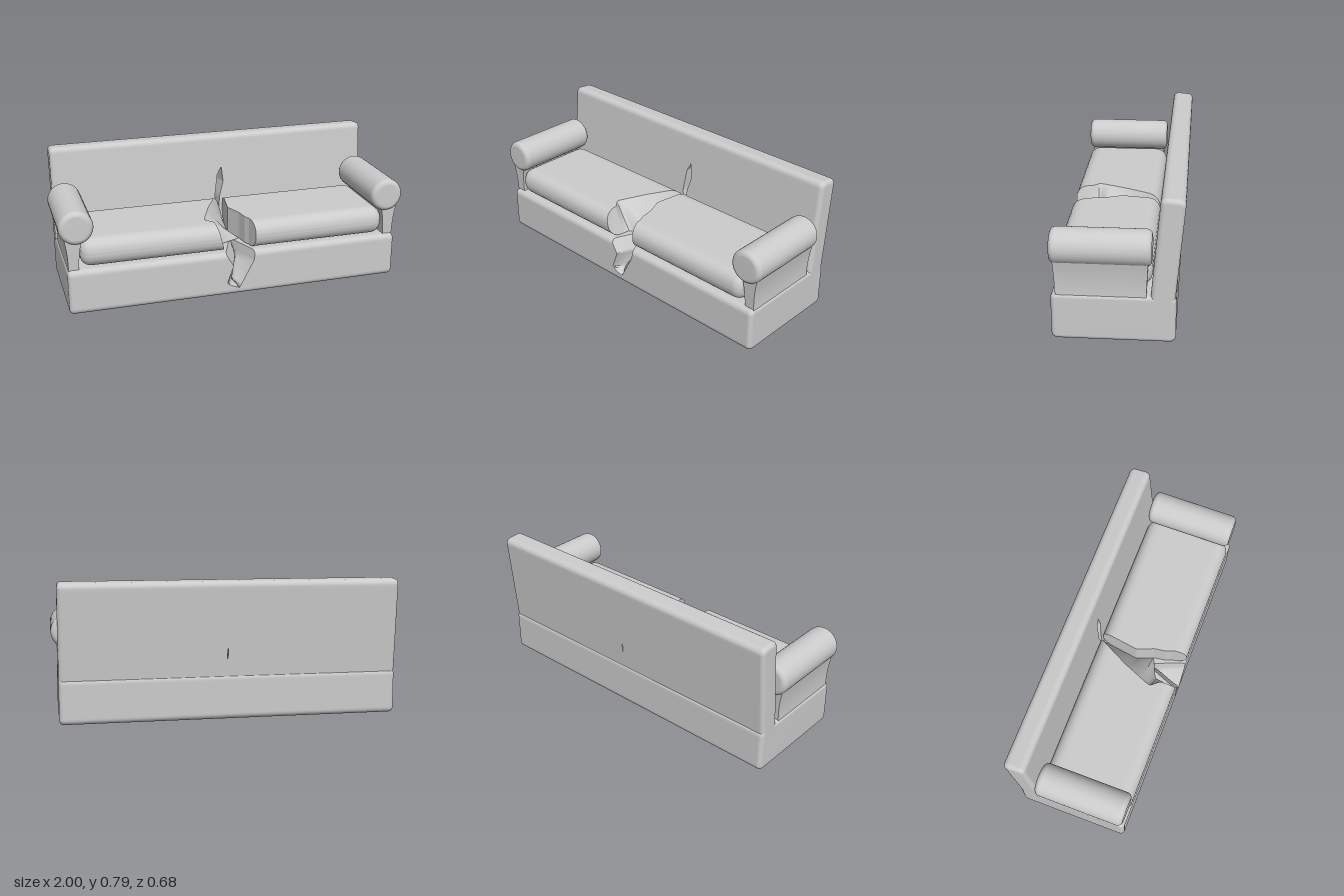
import * as THREE from 'three';

const ARC = 6, STRAIGHT = 24;
const material = new THREE.MeshStandardMaterial({ color: 0xcccccc, side: THREE.DoubleSide });

// Piecewise-linear lookup in a short list of [key, value] pairs
function table(list, k) {
  if (k <= list[0][0]) return list[0][1];
  for (let i = 1; i < list.length; i++) {
    const [k0, v0] = list[i - 1], [k1, v1] = list[i];
    if (k <= k1) return v0 + (v1 - v0) * (k - k0) / (k1 - k0);
  }
  return list[list.length - 1][1];
}
const mix = THREE.MathUtils.lerp;
const clamp01 = v => THREE.MathUtils.clamp(v, 0, 1);

// Rounded rectangle in z/y, starting at the upper front corner
function profile(w, h, r) {
  const corners = [];
  for (let c = 0; c < 4; c++) {
    const cz = (c === 0 || c === 3 ? 1 : -1) * (w / 2 - r);
    const cy = (c < 2 ? 1 : -1) * (h / 2 - r);
    const arc = [];
    for (let i = 0; i <= ARC; i++) {
      const a = (c + i / ARC) * Math.PI / 2;
      arc.push([cz + r * Math.cos(a), cy + r * Math.sin(a)]);
    }
    corners.push(arc);
  }
  const pts = [];
  corners.forEach((arc, c) => {
    pts.push(...arc);
    const a = arc[ARC], b = corners[(c + 1) % 4][0];
    for (let i = 1; i < STRAIGHT; i++) {
      pts.push([mix(a[0], b[0], i / STRAIGHT), mix(a[1], b[1], i / STRAIGHT)]);
    }
  });
  return pts;
}

function grid(points, rows, cols, wrap, flip) {
  const index = [];
  for (let i = 0; i < rows - 1; i++) {
    for (let j = 0; j < (wrap ? cols : cols - 1); j++) {
      const k = (j + 1) % cols;
      const a = i * cols + j, b = i * cols + k, c = a + cols, d = b + cols;
      if (flip) index.push(a, c, b, b, c, d);
      else index.push(a, b, c, b, d, c);
    }
  }
  const g = new THREE.BufferGeometry();
  g.setAttribute('position', new THREE.Float32BufferAttribute(points, 3));
  g.setIndex(index);
  g.computeVertexNormals();
  return g;
}

// Soft block in two halves that meet at a torn edge, x = edge(side, y, z)
function tornBlock(name, { halfX, w, h, r, endR, cy = 0, cz = 0, edge }) {
  const group = new THREE.Group();
  group.name = name;
  const outer = profile(w, h, r);
  for (const s of [-1, 1]) {
    // Outer skin: end centre, rounded end, then the torn edge
    const skin = [];
    outer.forEach(() => skin.push(s * halfX, cy, cz));
    for (let i = 0; i <= ARC; i++) {
      const a = i / ARC * Math.PI / 2;
      const d = endR * (1 - Math.sin(a));
      for (const [z, y] of profile(w - 2 * d, h - 2 * d, r - d)) {
        skin.push(s * (halfX - endR * (1 - Math.cos(a))), y + cy, z + cz);
      }
    }
    for (const [z, y] of outer) skin.push(edge(s, y + cy, z + cz), y + cy, z + cz);
    const body = new THREE.Mesh(grid(skin, ARC + 3, outer.length, true, s < 0), material);
    body.name = name + (s > 0 ? 'Left' : 'Right');
    // Faceted wall of the tear
    const wall = [], rows = 24, cols = 2 * ARC + STRAIGHT + 1;
    for (let j = 0; j < cols; j++) {
      const [z, y] = outer[j];
      for (let k = 0; k <= rows; k++) {
        const yy = mix(-y, y, k / rows) + cy;
        wall.push(edge(s, yy, z + cz), yy, z + cz);
      }
    }
    const wallGeo = grid(wall, cols, rows + 1, false, s < 0).toNonIndexed();
    wallGeo.computeVertexNormals();
    const tear = new THREE.Mesh(wallGeo, material);
    tear.name = 'tornWall' + (s > 0 ? 'Left' : 'Right');
    group.add(body, tear);
  }
  return group;
}

// Tear in the base: a wedge that is deepest at the top
function baseEdge(s, y, z) {
  const left = table([[0.04, 0.005], [0.07, -0.07], [0.18, -0.03], [0.26, -0.08]], y);
  const right = table([[0.04, 0.005], [0.2, 0.09], [0.26, 0.1]], y);
  const floorZ = table([[0.04, 0.31], [0.26, 0.12]], y);
  const open = clamp01((z - floorZ) / (0.34 - floorZ));
  return mix((left + right) / 2, s > 0 ? right : left, open);
}

// Tear in the cushion: upright on one side, a long slope on the other
function cushionEdge(s, y, z) {
  const right = table([[-0.18, 0.055], [0.05, 0.02], [0.15, 0.06], [0.22, 0.07], [0.25, 0.085], [0.34, 0.1]], z);
  if (s > 0) return right;
  const top = table([[-0.18, 0.015], [0.02, -0.09], [0.2, -0.165], [0.25, -0.12], [0.34, -0.12]], z);
  const low = z < 0.15 ? right : table([[0.15, 0.06], [0.2, -0.06], [0.34, -0.08]], z);
  return mix(low, top, clamp01((y - 0.265) / 0.16));
}

// Slash in the backrest, almost closed at the rear
function backEdge(s, y, z) {
  const left = table([[-0.2, 0.03], [-0.09, 0.01], [0.05, 0.03], [0.09, 0.055]], y);
  const right = table([[-0.2, 0.03], [-0.09, 0.04], [0, 0.065], [0.09, 0.055]], y);
  const rear = table([[-0.15, 0], [-0.12, 0.3], [-0.09, 0]], y);
  return mix((left + right) / 2, s > 0 ? right : left, mix(rear, 1, clamp01((z + 0.0625) / 0.125)));
}

function createArm(s) {
  const arm = new THREE.Group();
  arm.name = s > 0 ? 'armLeft' : 'armRight';
  // Padded roll with rounded rims
  const pts = [new THREE.Vector2(0, -0.2575)];
  for (const e of [-1, 1]) {
    for (let i = 0; i <= ARC; i++) {
      const a = (e < 0 ? i : ARC - i) / ARC * Math.PI / 2;
      pts.push(new THREE.Vector2(0.065 + 0.03 * Math.sin(a), e * (0.2275 + 0.03 * Math.cos(a))));
    }
  }
  pts.push(new THREE.Vector2(0, 0.2575));
  const roll = new THREE.Mesh(new THREE.LatheGeometry(pts, 40), material);
  roll.name = 'armRoll';
  roll.rotation.x = Math.PI / 2;
  roll.position.set(s * 0.905, 0.505, 0.0825);
  // Panel under the roll, hollowed outside and slightly wider at the top
  const shape = new THREE.Shape();
  shape.moveTo(s * 0.9, 0.22);
  shape.lineTo(s * 0.96, 0.22);
  shape.quadraticCurveTo(s * 0.95, 0.33, s * 0.975, 0.45);
  shape.lineTo(s * 0.87, 0.45);
  shape.quadraticCurveTo(s * 0.9, 0.38, s * 0.9, 0.22);
  const geo = new THREE.ExtrudeGeometry(shape, { depth: 0.46, bevelEnabled: false, curveSegments: 12 });
  geo.translate(0, 0, -0.23);
  const p = geo.attributes.position;
  for (let i = 0; i < p.count; i++) {
    p.setZ(i, p.getZ(i) * (1 + (p.getY(i) - 0.24) * 0.2) + 0.0825);
  }
  geo.computeVertexNormals();
  const panel = new THREE.Mesh(geo, material);
  panel.name = 'armPanel';
  arm.add(roll, panel);
  return arm;
}

export function createModel() {
  const sofa = new THREE.Group();
  sofa.name = 'tornSofa';
  const base = tornBlock('base', { halfX: 0.965, w: 0.64, h: 0.26, r: 0.032, endR: 0.025, cy: 0.13, cz: 0.02, edge: baseEdge });
  const cushion = tornBlock('seatCushion', { halfX: 0.887, w: 0.515, h: 0.16, r: 0.07, endR: 0.06, cy: 0.345, cz: 0.0825, edge: cushionEdge });
  const back = tornBlock('backrest', { halfX: 0.965, w: 0.125, h: 0.58, r: 0.032, endR: 0.025, edge: backEdge });
  back.position.set(0, 0.498, -0.2535);
  back.rotation.x = -0.0865;
  sofa.add(base, cushion, back, createArm(1), createArm(-1));
  return sofa;
}
